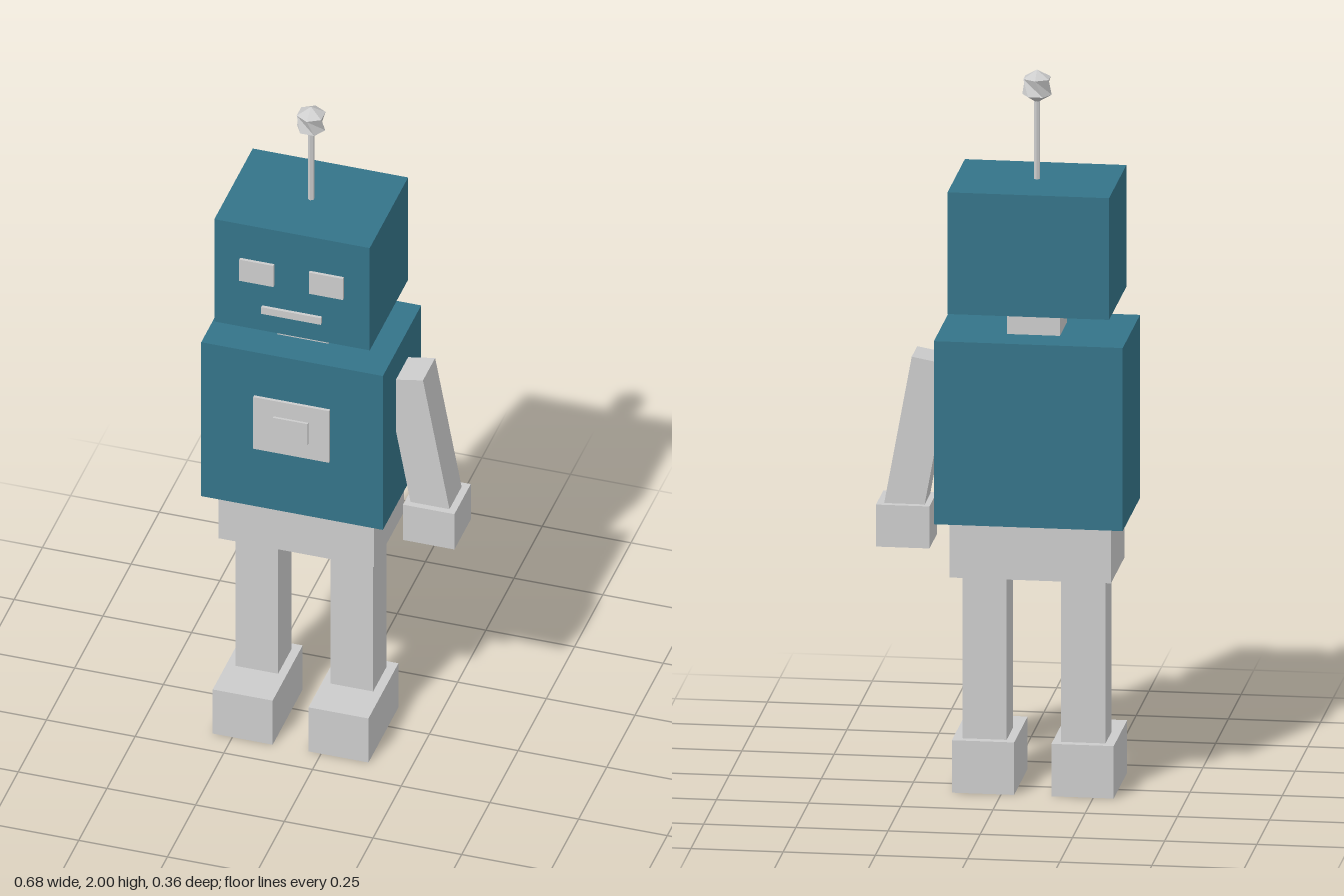
import * as THREE from 'three';

export function createModel() {
  const robot = new THREE.Group();
  robot.name = 'robot';
  const grey = new THREE.MeshStandardMaterial({ color: 0xcccccc, flatShading: true });
  const teal = new THREE.MeshStandardMaterial({ color: 0x347388, flatShading: true });

  const cx = -0.086; // the body's own centre line, offset because of the single arm
  const cz = -0.008;

  function add(name, geometry, material, x, y, z) {
    const mesh = new THREE.Mesh(geometry, material);
    mesh.name = name;
    mesh.position.set(x, y, z);
    robot.add(mesh);
    return mesh;
  }

  // Box from its width and x centre, and its y and z ranges
  function box(name, x, width, [y0, y1], [z0, z1], material = grey) {
    const geometry = new THREE.BoxGeometry(width, y1 - y0, z1 - z0);
    return add(name, geometry, material, x, (y0 + y1) / 2, (z0 + z1) / 2);
  }

  // Head, neck, torso and hips
  box('head', cx, 0.438, [1.357, 1.696], [-0.179, 0.161], teal);
  box('neck', cx, 0.144, [1.27, 1.367], [-0.08, 0.064]);
  box('torso', cx, 0.512, [0.77, 1.28], [-0.179, 0.161], teal);
  box('hips', cx, 0.438, [0.613, 0.77], [-0.142, 0.124]);

  // Legs, feet and eyes in pairs
  for (const [side, s] of [['left', 1], ['right', -1]]) {
    box(side + 'Leg', cx + s * 0.134, 0.12, [0.146, 0.613], [-0.068, 0.052]);
    box(side + 'Foot', cx + s * 0.135, 0.169, [0, 0.146], [-0.092, 0.174]);
    box(side + 'Eye', cx + s * 0.098, 0.096, [1.514, 1.584], [0.15, 0.17]);
  }

  // Mouth, chest panel and button
  box('mouth', cx, 0.168, [1.418, 1.44], [0.15, 0.17]);
  box('chestPanel', cx, 0.214, [0.966, 1.137], [0.15, 0.17]);
  box('chestButton', cx, 0.098, [1.016, 1.086], [0.16, 0.177]);

  // Single slanted arm with its hand
  const arm = box('leftArm', 0.231, 0.108, [0.772, 1.196], [-0.063, 0.045]);
  arm.rotation.z = 0.18;
  box('leftHand', 0.268, 0.145, [0.675, 0.792], [-0.082, 0.063]);

  // Antenna rod
  add('antennaRod', new THREE.CylinderGeometry(0.009, 0.009, 0.24, 6), grey, cx, 1.81, cz);

  // Antenna ball: six-sided sphere with its lower ring turned half a step
  const ball = new THREE.SphereGeometry(0.046, 6, 3);
  ball.rotateY(Math.PI / 6);
  const p = ball.attributes.position;
  const v = new THREE.Vector3();
  const up = new THREE.Vector3(0, 1, 0);
  for (let i = 0; i < p.count; i++) {
    v.fromBufferAttribute(p, i);
    if (v.y < 0) v.applyAxisAngle(up, Math.PI / 6);
    p.setXYZ(i, v.x, v.y, v.z);
  }
  ball.computeVertexNormals();
  add('antennaBall', ball, grey, cx, 1.954, cz);

  return robot;
}
